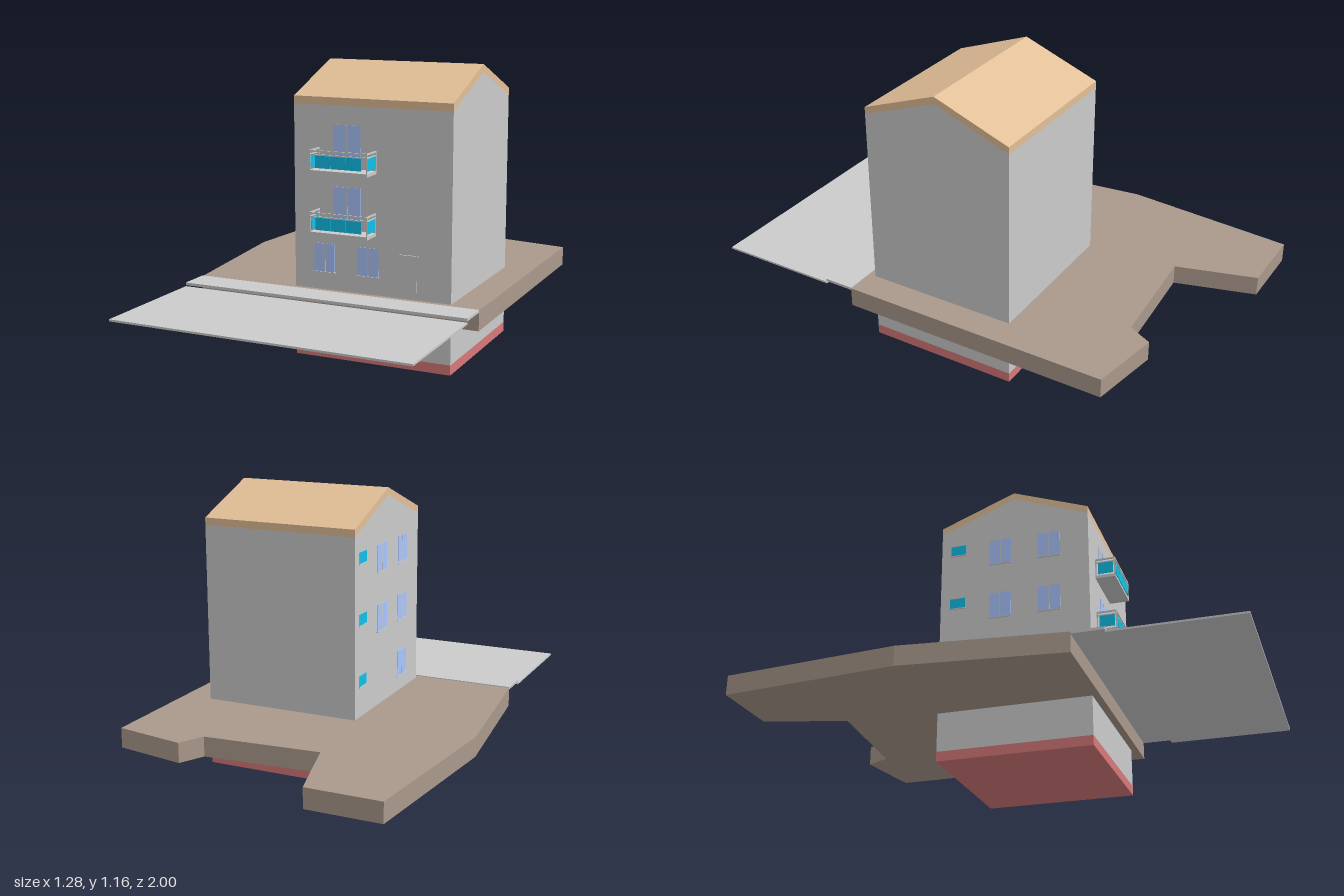
import * as THREE from 'three';

const X0 = -0.145, X1 = 0.515, ZB = -0.3, ZF = 0.335, ZR = 0.0175, GROUND = 0.28;

const material = (color) => new THREE.MeshStandardMaterial({ color, flatShading: true });
const grey = material(0xcccccc), glass = material(0xaac6ff), cyan = material(0x10c0e8);
const earth = material(0xaa998c), tile = material(0xe2bf97), red = material(0xd67979);

export function createModel() {
  const model = new THREE.Group();

  // box given by its min and max corners
  const box = (parent, name, mat, x0, x1, y0, y1, z0, z1) => {
    const mesh = new THREE.Mesh(new THREE.BoxGeometry(x1 - x0, y1 - y0, z1 - z0), mat);
    mesh.position.set((x0 + x1) / 2, (y0 + y1) / 2, (z0 + z1) / 2);
    mesh.name = name;
    parent.add(mesh);
  };

  const group = (name) => {
    const g = new THREE.Group();
    g.name = name;
    model.add(g);
    return g;
  };

  // (z, y) profile extruded along the width of the house
  const gable = (name, mat, points) => {
    const shape = new THREE.Shape(points.map(([z, y]) => new THREE.Vector2(-z, y)));
    const geo = new THREE.ExtrudeGeometry(shape, { depth: X1 - X0, bevelEnabled: false });
    geo.rotateY(Math.PI / 2).translate(X0, 0, 0);
    const mesh = new THREE.Mesh(geo, mat);
    mesh.name = name;
    model.add(mesh);
  };

  // House: base, walls and pitched roof
  box(model, 'foundation', red, X0, X1, 0, 0.04, ZB, ZF);
  gable('walls', grey, [[ZF, 0.04], [ZF, 1.01], [ZR, 1.13], [ZB, 1.01], [ZB, 0.04]]);
  gable('roof', tile, [[ZF, 1.01], [ZF, 1.04], [ZR, 1.16], [ZB, 1.04], [ZB, 1.01], [ZR, 1.13]]);

  // Plot of land as a thick irregular slab
  const outline = [[-0.575, -1], [-0.275, -1], [-0.18, -0.675], [0.295, -0.71], [0.345, -0.81],
    [0.637, -0.76], [0.637, 0.365], [-0.563, 0.365], [-0.64, -0.28]];
  const plot = new THREE.ExtrudeGeometry(
    new THREE.Shape(outline.map(([x, z]) => new THREE.Vector2(x, -z))),
    { depth: 0.08, bevelEnabled: false });
  plot.rotateX(-Math.PI / 2).translate(0, 0.2, 0);
  const land = new THREE.Mesh(plot, earth);
  land.name = 'land';
  model.add(land);

  // Pavement and road
  box(model, 'pavement', grey, -0.563, 0.637, 0.272, 0.283, 0.365, 0.49);
  box(model, 'road', grey, -0.563, 0.637, 0.26, 0.268, 0.49, 1);

  // Two panes with a middle bar on the front wall
  const frontWindow = (name, x0, x1, y0, y1) => {
    const g = group(name), mid = (x0 + x1) / 2;
    box(g, 'pane', glass, x0, mid - 0.003, y0, y1, ZF - 0.01, ZF + 0.002);
    box(g, 'pane', glass, mid + 0.003, x1, y0, y1, ZF - 0.01, ZF + 0.002);
    box(g, 'mullion', grey, mid - 0.003, mid + 0.003, y0, y1, ZF - 0.01, ZF + 0.003);
  };
  for (const x of [-0.06, 0.127]) {
    frontWindow('groundWindow', x, x + 0.088, 0.352, 0.465);
    box(model, 'frontSill', grey, x - 0.004, x + 0.092, 0.348, 0.352, ZF, ZF + 0.006);
  }

  // Entrance door with lintel
  box(model, 'entranceDoor', grey, 0.31, 0.375, GROUND, 0.448, ZF - 0.01, ZF + 0.001);
  box(model, 'doorLintel', grey, 0.304, 0.381, 0.448, 0.453, ZF, ZF + 0.006);

  // Balconies with open railings and coloured panels
  for (const y of [0.515, 0.756]) {
    frontWindow('balconyDoor', 0.025, 0.14, y + 0.01, y + 0.18);
    const g = group('balcony'), x0 = -0.04, x1 = 0.205, z1 = 0.418, t = 0.005;
    box(g, 'slab', grey, x0, x1, y, y + 0.012, ZF, z1);
    for (const [a, b] of [[0.083, 0.089], [0.07, 0.074]]) {
      box(g, 'frontRail', grey, x0, x1, y + a, y + b, z1 - t, z1);
      for (const x of [x0, x1 - t]) box(g, 'sideRail', grey, x, x + t, y + a, y + b, ZF, z1 - t);
    }
    for (const x of [x0, x1 - t]) {
      box(g, 'cornerPost', grey, x, x + t, y + 0.012, y + 0.083, z1 - t, z1);
      box(g, 'wallPost', grey, x, x + t, y + 0.012, y + 0.083, ZF, ZF + t);
      box(g, 'sidePanel', cyan, x + 0.001, x + t - 0.001, y + 0.021, y + 0.069, 0.346, 0.409);
    }
    for (let i = 0; i < 3; i++) {
      const px = -0.015 + i * 0.065;
      box(g, 'frontPanel', cyan, px + 0.001, px + 0.064, y + 0.021, y + 0.069, z1 - 0.004, z1 - 0.001);
    }
  }

  // Windows on the right-hand wall: small, middle and front columns
  const sideWindow = (name, mat, z0, z1, y0, y1) => {
    const g = group(name), mid = (z0 + z1) / 2;
    box(g, 'pane', mat, X0 - 0.002, X0 + 0.01, y0, y1, z0, z1);
    if (mat === glass) box(g, 'mullion', grey, X0 - 0.003, X0 + 0.01, y0, y1, mid - 0.003, mid + 0.003);
    box(g, 'sill', grey, X0 - 0.005, X0, y0 - 0.004, y0, z0 - 0.004, z1 + 0.004);
  };
  for (const y of [0.427, 0.676, 0.922]) {
    sideWindow('smallSideWindow', cyan, -0.258, -0.193, y - 0.022, y + 0.022);
  }
  for (const y of [0.645, 0.89]) sideWindow('middleSideWindow', glass, -0.088, 0.005, y - 0.055, y + 0.055);
  for (const y of [0.4, 0.645, 0.89]) sideWindow('frontSideWindow', glass, 0.12, 0.213, y - 0.055, y + 0.055);

  return model;
}
